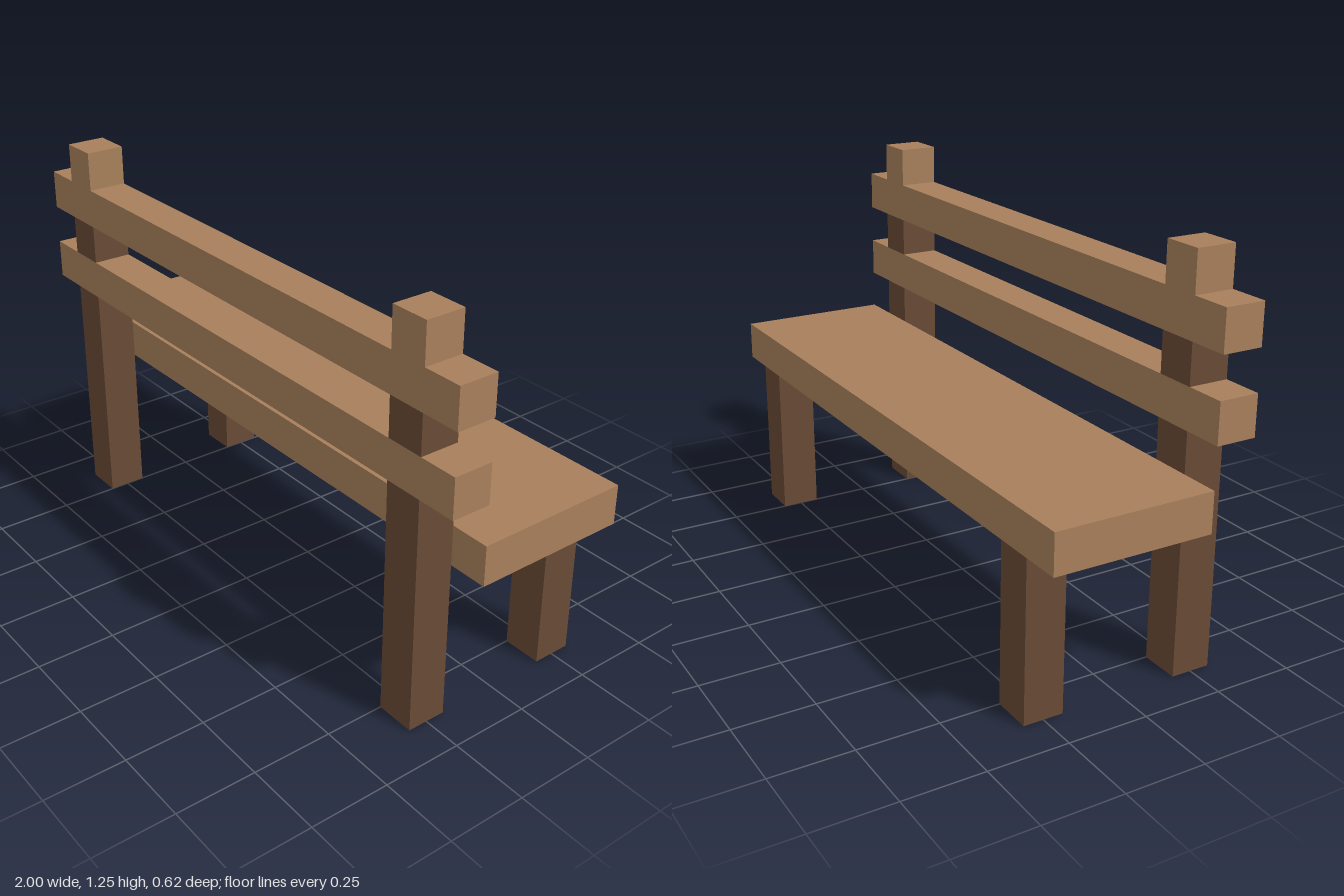
import * as THREE from 'three';

export function createModel() {
  const bench = new THREE.Group();
  bench.name = 'bench';

  const lightWood = new THREE.MeshStandardMaterial({ color: 0xa8805b });
  lightWood.name = 'lightWood';
  const darkWood = new THREE.MeshStandardMaterial({ color: 0x694a35 });
  darkWood.name = 'darkWood';

  const T = 0.125; // timber thickness
  const backZ = 0.25, frontZ = -0.25, postX = 0.8125;

  // Box placed by its centre in x and z, and its bottom and top in y
  function beam(name, material, width, depth, x, z, bottom, top) {
    const mesh = new THREE.Mesh(new THREE.BoxGeometry(width, top - bottom, depth), material);
    mesh.name = name;
    mesh.position.set(x, (bottom + top) / 2, z);
    bench.add(mesh);
  }

  // Seat plank
  beam('seat', lightWood, 2, 0.5, 0, -0.0625, 0.5, 0.625);

  // Backrest slats, flush with the posts
  beam('lowerSlat', lightWood, 2, T, 0, backZ, 0.75, 0.875);
  beam('upperSlat', lightWood, 2, T, 0, backZ, 1.0, 1.125);

  for (const [side, s] of [['left', 1], ['right', -1]]) {
    const x = s * postX;
    // Short legs under the seat
    beam(side + 'ShortLeg', darkWood, T, T, x, frontZ, 0, 0.5);
    // Tall posts, split by the slats, with light caps
    beam(side + 'TallLeg', darkWood, T, T, x, backZ, 0, 0.75);
    beam(side + 'SlatSpacer', darkWood, T, T, x, backZ, 0.875, 1.0);
    beam(side + 'PostCap', lightWood, T, T, x, backZ, 1.125, 1.25);
  }

  return bench;
}
